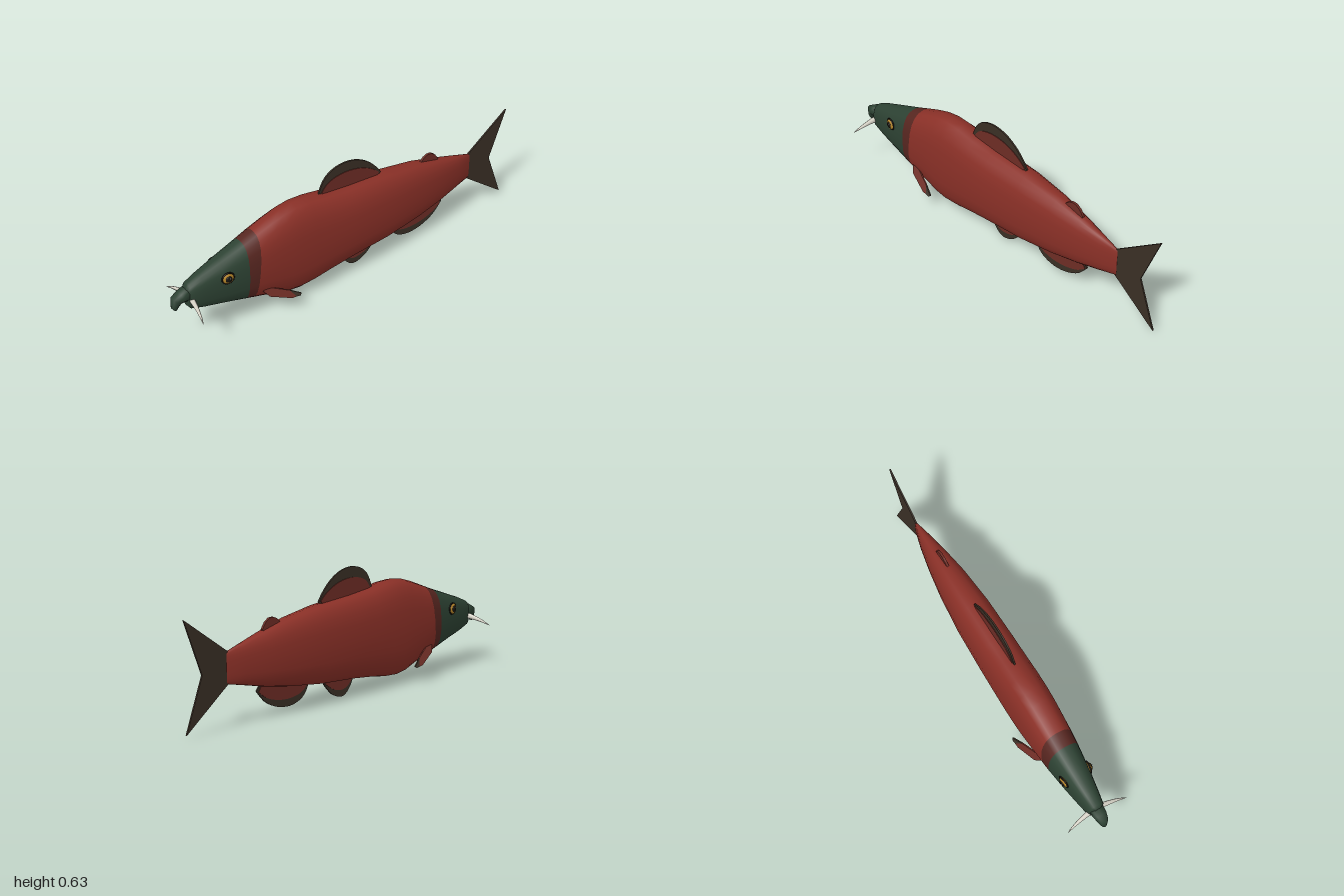
import * as THREE from 'three';

const mat = (name, color) => {
  const m = new THREE.MeshStandardMaterial({ color });
  m.name = name;
  return m;
};

// Closed loft from front to back; a section is [zTop, yTop, zBottom, yBottom, halfWidth].
// splits lists the section indices where the next material begins.
function loft(sections, sides, power, splits = []) {
  const pos = [], idx = [], geo = new THREE.BufferGeometry();
  const bend = v => Math.sign(v) * Math.abs(v) ** power;
  for (const [zt, yt, zb, yb, w] of sections) {
    for (let j = 0; j < sides; j++) {
      const a = (j / sides) * Math.PI * 2, k = (bend(Math.cos(a)) + 1) / 2;
      pos.push(w * bend(Math.sin(a)), yb + (yt - yb) * k, zb + (zt - zb) * k);
    }
  }
  const last = sections.length - 1, center = s => pos.push(0, (s[1] + s[3]) / 2, (s[0] + s[2]) / 2);
  center(sections[0]);
  center(sections[last]);
  const c0 = (last + 1) * sides;
  for (let j = 0; j < sides; j++) idx.push(c0, (j + 1) % sides, j);
  let start = 0, group = 0;
  for (let i = 0; i < last; i++) {
    if (splits.includes(i)) {
      geo.addGroup(start, idx.length - start, group++);
      start = idx.length;
    }
    for (let j = 0; j < sides; j++) {
      const p = i * sides + j, q = i * sides + (j + 1) % sides;
      idx.push(p, q, p + sides, q, q + sides, p + sides);
    }
  }
  for (let j = 0; j < sides; j++) idx.push(c0 + 1, last * sides + j, last * sides + (j + 1) % sides);
  if (splits.length) geo.addGroup(start, idx.length - start, group);
  geo.setAttribute('position', new THREE.Float32BufferAttribute(pos, 3));
  geo.setIndex(idx);
  geo.computeVertexNormals();
  return geo;
}

// Thin plate in the z-y plane, centred on x = 0
function plate(points, thickness) {
  const shape = new THREE.Shape(points.map(([z, y]) => new THREE.Vector2(z, y)));
  return new THREE.ExtrudeGeometry(shape, { depth: thickness, bevelEnabled: false })
    .translate(0, 0, -thickness / 2).rotateY(-Math.PI / 2);
}

export function createModel() {
  const red = mat('bodyRed', 0x8a3027), green = mat('headGreen', 0x2d4233);
  const collar = mat('collarBrown', 0x572620), finRed = mat('finRed', 0x6e2d25);
  const finDark = mat('finDark', 0x3a2f25), gold = mat('eyeGold', 0xb5852a);
  const black = mat('pupilBlack', 0x17130f), ivory = mat('tuskIvory', 0xd6d2c6);
  const root = new THREE.Group();
  const add = (name, geo, material, parent = root) => {
    const m = new THREE.Mesh(geo, material);
    m.name = name;
    parent.add(m);
    return m;
  };

  // Body: head, collar band and trunk in one smooth skin
  const s = (z, top, bottom, w) => [z, top, z, bottom, w];
  add('body', loft([
    s(0.925, 0.325, 0.225, 0.028), s(0.91, 0.342, 0.203, 0.042), s(0.85, 0.367, 0.183, 0.053),
    s(0.75, 0.402, 0.158, 0.069), [0.62, 0.447, 0.635, 0.125, 0.084],
    [0.55, 0.474, 0.595, 0.113, 0.089], s(0.47, 0.504, 0.075, 0.095), s(0.4, 0.525, 0.05, 0.099),
    s(0.33, 0.535, 0.04, 0.101), s(0.25, 0.53, 0.046, 0.102), s(0.15, 0.512, 0.063, 0.102),
    s(0.02, 0.497, 0.079, 0.101), s(-0.2, 0.481, 0.096, 0.095), s(-0.4, 0.45, 0.123, 0.078),
    s(-0.55, 0.412, 0.152, 0.056), s(-0.67, 0.379, 0.182, 0.033), s(-0.765, 0.353, 0.205, 0.008),
  ], 20, 0.8, [4, 5]), [green, collar, red]);

  // Hooked snout
  add('hookedSnout', loft([
    [0.988, 0.223, 0.972, 0.223, 0.009], [1.0, 0.242, 0.962, 0.238, 0.015],
    [0.992, 0.294, 0.95, 0.253, 0.026], [0.955, 0.315, 0.935, 0.256, 0.033],
    [0.9, 0.333, 0.9, 0.25, 0.037],
  ], 10, 0.9), green);

  // Curved tusks, eyes and side fins, mirrored
  for (const side of [1, -1]) {
    const name = side > 0 ? 'left' : 'right';
    const path = new THREE.QuadraticBezierCurve3(
      new THREE.Vector3(0.015, 0.264, 0.905), new THREE.Vector3(0.105, 0.256, 0.915),
      new THREE.Vector3(0.165, 0.222, 0.932));
    const tusk = new THREE.CylinderGeometry(1, 1, 1, 8, 8);
    const p = tusk.attributes.position;
    for (let i = 0; i < p.count; i++) {
      const t = p.getY(i) + 0.5, c = path.getPoint(t), r = 0.018 * (1 - t) ** 0.75;
      p.setXYZ(i, side * (c.x + p.getX(i) * r * -0.2), c.y + p.getX(i) * r, c.z + p.getZ(i) * r * 0.8);
    }
    if (side > 0) tusk.index.array.reverse();
    // Keep the faces pointing outwards on both sides
    if (signedVolume(tusk) < 0) tusk.index.array.reverse();
    tusk.computeVertexNormals();
    add(name + 'Tusk', tusk, ivory);

    const eye = new THREE.Group();
    eye.name = name + 'Eye';
    eye.position.set(side * 0.069, 0.33, 0.735);
    eye.rotation.y = side * (Math.PI / 2 - 0.14);
    root.add(eye);
    add('eyeRim', new THREE.TorusGeometry(0.029, 0.004, 8, 24), black, eye);
    add('iris', new THREE.SphereGeometry(0.028, 20, 12).scale(1, 1, 0.45), gold, eye);
    add('pupil', new THREE.SphereGeometry(0.017, 16, 10).scale(1, 1, 0.45), black, eye).position.z = 0.009;
    add('glint', new THREE.SphereGeometry(0.003, 8, 6), ivory, eye).position.set(0.004, 0.007, 0.016);

    const fin = new THREE.Group();
    fin.name = name + 'PectoralFin';
    root.add(fin);
    const parts = [
      ['finBlade', [[0.56, 0.168], [0.53, 0.174], [0.43, 0.126], [0.405, 0.09], [0.43, 0.092], [0.535, 0.136]], finRed],
      ['finTip', [[0.43, 0.126], [0.375, 0.094], [0.385, 0.087], [0.405, 0.09]], finDark],
    ];
    for (const [part, points, material] of parts) {
      const g = plate(points, 0.007), v = g.attributes.position;
      for (let i = 0; i < v.count; i++) v.setX(i, v.getX(i) + side * (0.075 + (0.168 - v.getY(i)) * 0.64));
      g.computeVertexNormals();
      add(part, g, material, fin);
    }
  }

  // Rounded fins: dark rim with a thicker red centre, rooted inside the body
  const fins = [
    ['dorsalFin', 0.5, 0.44, [[0.185, 0.505], [0.155, 0.575], [0.11, 0.615], [0.04, 0.633], [-0.04, 0.62], [-0.11, 0.58], [-0.16, 0.53], [-0.188, 0.49]]],
    ['pelvicFin', 0.087, 0.15, [[0.05, 0.085], [0.03, 0.045], [0, 0.012], [-0.04, 0], [-0.1, 0.025], [-0.155, 0.083]]],
    ['analFin', 0.12, 0.2, [[-0.26, 0.105], [-0.28, 0.07], [-0.315, 0.042], [-0.38, 0.026], [-0.46, 0.037], [-0.535, 0.075], [-0.59, 0.137]]],
  ];
  for (const [name, baseY, rootY, points] of fins) {
    const fin = new THREE.Group();
    fin.name = name;
    root.add(fin);
    const z0 = points[0][0], z1 = points[points.length - 1][0], mid = (z0 + z1) / 2;
    const edge = new THREE.SplineCurve(points.map(q => new THREE.Vector2(...q))).getPoints(20).map(q => [q.x, q.y]);
    const inner = edge.map(([z, y]) => [mid + (z - mid) * 0.93, baseY + (y - baseY) * 0.6]);
    const close = list => [...list, [z1 + 0.05, rootY], [z0 - 0.02, rootY]];
    add('finRim', plate(close(edge), 0.008), finDark, fin);
    add('finCentre', plate(close(inner), 0.014), finRed, fin);
  }
  add('adiposeFin', plate([[-0.43, 0.43], [-0.46, 0.457], [-0.48, 0.466], [-0.505, 0.465], [-0.53, 0.448],
    [-0.55, 0.418], [-0.53, 0.39], [-0.45, 0.39]], 0.012), finRed);

  // Forked tail
  add('tailFin', plate([[-0.755, 0.353], [-1, 0.532], [-0.905, 0.272], [-1, 0.02], [-0.755, 0.205]], 0.008), finDark);
  return root;
}

// Sign tells whether a closed geometry faces outwards
function signedVolume(geo) {
  const p = geo.attributes.position, ix = geo.index.array;
  const [a, b, c] = [0, 1, 2].map(() => new THREE.Vector3());
  let v = 0;
  for (let i = 0; i < ix.length; i += 3) {
    a.fromBufferAttribute(p, ix[i]);
    b.fromBufferAttribute(p, ix[i + 1]);
    c.fromBufferAttribute(p, ix[i + 2]);
    v += a.dot(b.cross(c));
  }
  return v;
}
